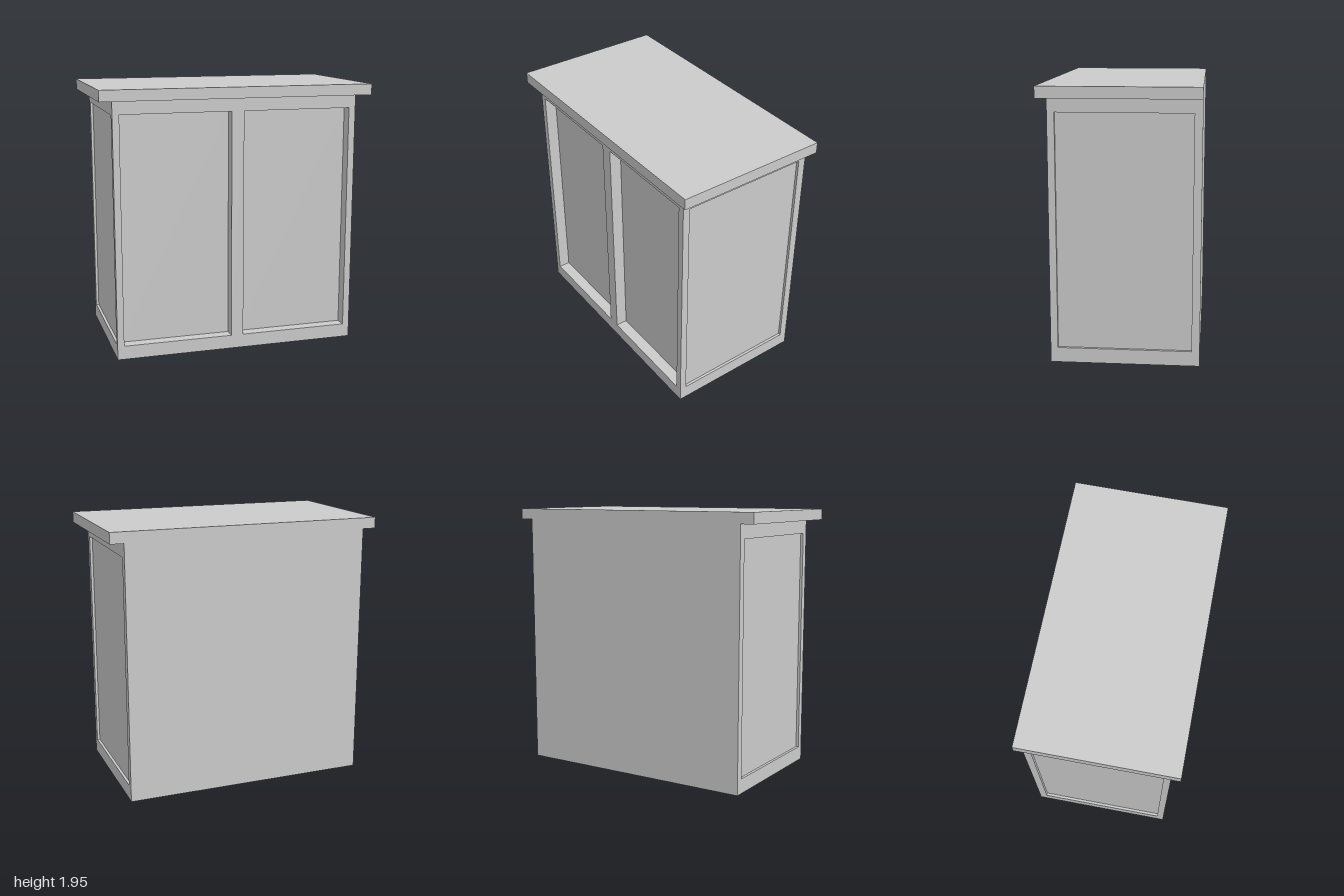
import * as THREE from 'three';

const HALF_W = 0.902, FRONT = 0.492, BACK = -0.554, BODY_H = 1.866, TOP_H = 1.946;
const material = new THREE.MeshStandardMaterial({ color: 0xcccccc, side: THREE.DoubleSide });

function addMesh(parent, name, geometry) {
  const mesh = new THREE.Mesh(geometry, material);
  mesh.name = name;
  parent.add(mesh);
  return mesh;
}

// Thin wall facing +z, with rectangular openings [x0, y0, x1, y1] leading to sunken panels
function panelledWall(name, x0, x1, openings, depth) {
  const wall = new THREE.Group();
  wall.name = name;
  const rect = (a, b, c, d) => [[a, b], [c, b], [c, d], [a, d]].map(p => new THREE.Vector2(...p));
  const frame = new THREE.Shape(rect(x0, 0, x1, BODY_H));
  for (const [a, b, c, d] of openings) {
    frame.holes.push(new THREE.Path(rect(a, b, c, d).reverse()));
    const w = c - a, h = d - b, cx = (a + c) / 2, cy = (b + d) / 2;
    addMesh(wall, 'sunkenPanel', new THREE.PlaneGeometry(w, h)).position.set(cx, cy, -depth);
    // Reveals around the opening, facing inward
    for (const s of [-1, 1]) {
      const side = addMesh(wall, 'sideReveal', new THREE.PlaneGeometry(depth, h));
      side.position.set(cx + s * w / 2, cy, -depth / 2);
      side.rotation.y = -s * Math.PI / 2;
      const level = addMesh(wall, 'levelReveal', new THREE.PlaneGeometry(w, depth));
      level.position.set(cx, cy + s * h / 2, -depth / 2);
      level.rotation.x = s * Math.PI / 2;
    }
  }
  addMesh(wall, 'frame', new THREE.ShapeGeometry(frame));
  return wall;
}

export function createModel() {
  const cabinet = new THREE.Group();
  cabinet.name = 'cabinet';

  // Front with two deep panels
  const front = panelledWall('front', -HALF_W, HALF_W,
    [[-0.853, 0.1, -0.046, 1.77], [0.046, 0.1, 0.853, 1.77]], 0.087);
  front.position.z = FRONT;
  cabinet.add(front);

  // Sides with one shallow panel each; the local x axis runs along the depth
  for (const s of [1, -1]) {
    const span = (a, b) => (s > 0 ? [-b, -a] : [a, b]);
    const [w0, w1] = span(BACK, FRONT);
    const [p0, p1] = span(-0.497, 0.441);
    const side = panelledWall(s > 0 ? 'leftSide' : 'rightSide', w0, w1, [[p0, 0.106, p1, 1.765]], 0.02);
    side.position.x = s * HALF_W;
    side.rotation.y = s * Math.PI / 2;
    cabinet.add(side);
  }

  // Plain back; the underside stays open
  const back = addMesh(cabinet, 'back', new THREE.PlaneGeometry(2 * HALF_W, BODY_H));
  back.position.set(0, BODY_H / 2, BACK);
  back.rotation.y = Math.PI;

  // Overhanging top slab, flush at the back
  const top = addMesh(cabinet, 'topSlab', new THREE.BoxGeometry(2, TOP_H - BODY_H, -2 * BACK));
  top.position.y = (TOP_H + BODY_H) / 2;
  return cabinet;
}
